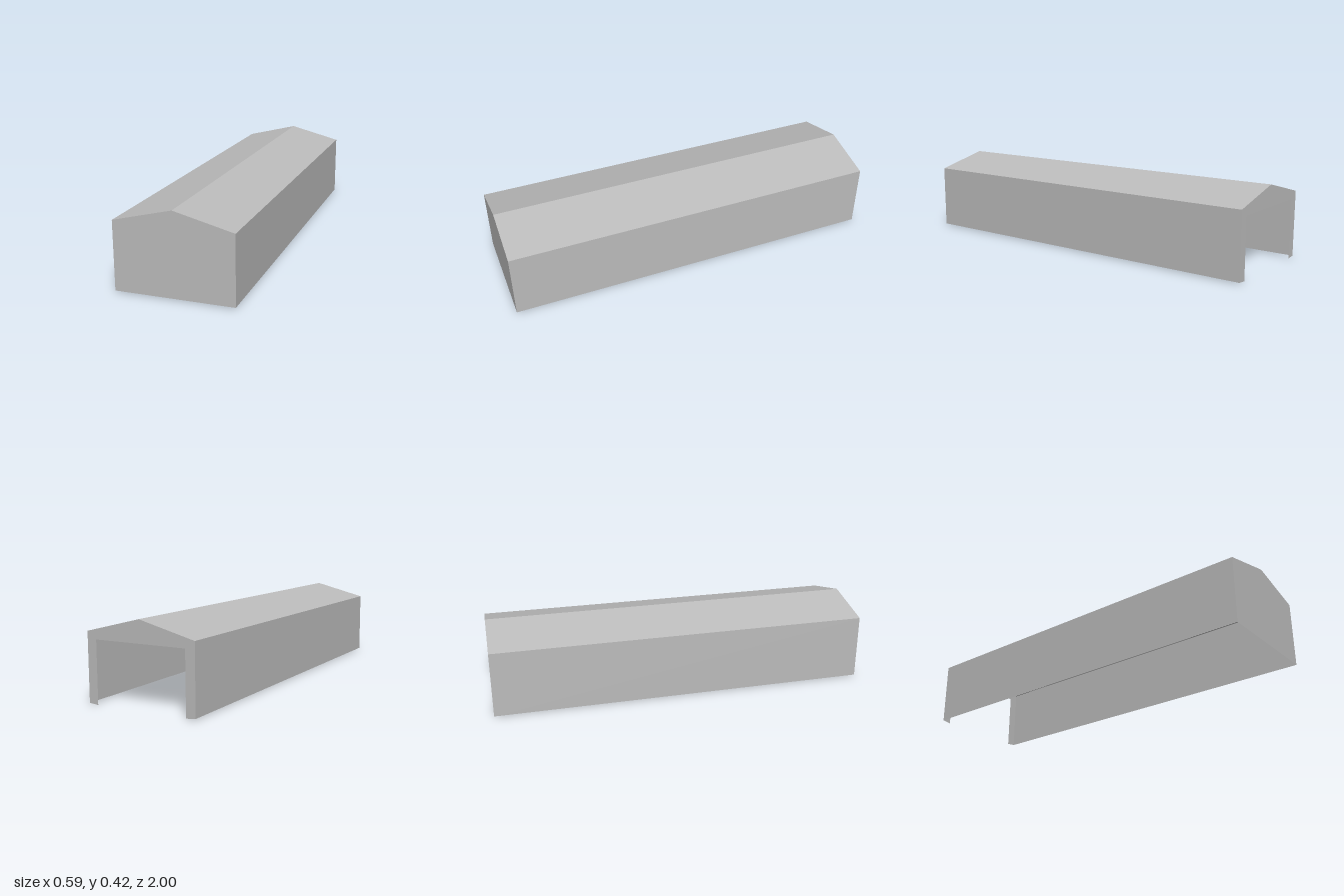
import * as THREE from 'three';

const HALF_W = 0.295, BASE = 0.005, EAVE = 0.348, RIDGE = 0.422, HALF_L = 1;
const POST_IN = 0.245, LINTEL = 0.311;

export function createModel() {
  const group = new THREE.Group();
  const grey = new THREE.MeshStandardMaterial({ color: 0xbcbcbc, side: THREE.DoubleSide });
  grey.name = 'plain grey';

  const add = (name, geometry) => {
    const mesh = new THREE.Mesh(geometry, grey);
    mesh.name = name;
    group.add(mesh);
    return mesh;
  };

  // Flat sheet running the full length between two points of the cross-section
  const sheet = (name, [x0, y0], [x1, y1]) => {
    const geometry = new THREE.BufferGeometry();
    geometry.setAttribute('position', new THREE.Float32BufferAttribute([
      x0, y0, HALF_L, x0, y0, -HALF_L, x1, y1, -HALF_L, x1, y1, HALF_L], 3));
    geometry.setIndex([0, 1, 2, 0, 2, 3]);
    geometry.computeVertexNormals();
    add(name, geometry);
  };

  const outline = (points) => new THREE.ShapeGeometry(
    new THREE.Shape(points.map(([x, y]) => new THREE.Vector2(x, y))));

  // Side walls and the two roof slopes, open underneath
  sheet('leftWall', [HALF_W, BASE], [HALF_W, EAVE]);
  sheet('leftRoof', [HALF_W, EAVE], [0, RIDGE]);
  sheet('rightRoof', [0, RIDGE], [-HALF_W, EAVE]);
  sheet('rightWall', [-HALF_W, EAVE], [-HALF_W, BASE]);

  // Closed front gable
  const gable = [[HALF_W, BASE], [HALF_W, EAVE], [0, RIDGE], [-HALF_W, EAVE], [-HALF_W, BASE]];
  add('frontGable', outline(gable)).position.z = HALF_L;

  // Open back gable: two posts with slanted feet under a flat lintel
  const frame = outline([...gable,
    [-POST_IN, 0], [-POST_IN, LINTEL], [POST_IN, LINTEL], [POST_IN, 0]]);
  frame.rotateY(Math.PI);
  add('backFrame', frame).position.z = -HALF_L;

  return group;
}
